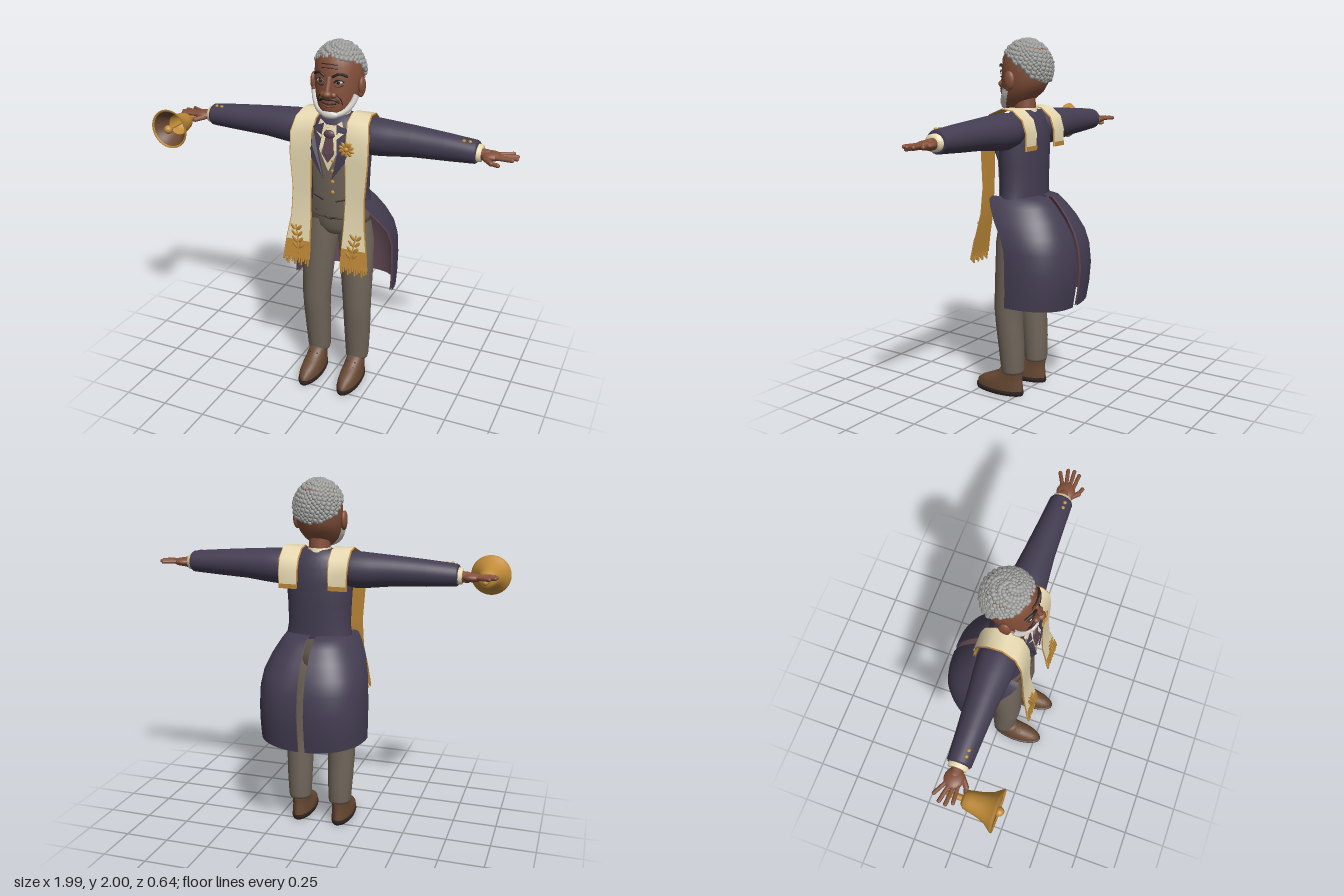
import * as THREE from 'three';
import { mergeGeometries, mergeVertices } from 'three/addons/utils/BufferGeometryUtils.js';

const mat = (name, color, side = THREE.FrontSide) => {
  const m = new THREE.MeshStandardMaterial({ color, side });
  m.name = name;
  return m;
};
const V = (x, y, z) => new THREE.Vector3(x, y, z);

// Surface through rows of points; outward when rows rise and points run left to right
function loft(rows) {
  const n = rows[0].length, index = [];
  for (let j = 0; j < rows.length - 1; j++)
    for (let i = 0; i < n - 1; i++) {
      const a = j * n + i, b = a + 1, c = a + n, d = c + 1;
      index.push(a, b, d, a, d, c);
    }
  let g = new THREE.BufferGeometry().setFromPoints(rows.flat());
  g.setIndex(index);
  g = mergeVertices(g, 1e-5);
  g.computeVertexNormals();
  return g;
}
// Elliptical rings [y, cx, cz, rx, rz], swept over an angle measured from the front
const shell = (rings, half = Math.PI, n = 32) => loft(rings.map(([y, cx, cz, rx, rz]) =>
  Array.from({ length: n + 1 }, (_, i) => {
    const a = -half + (2 * half * i) / n;
    return V(cx + rx * Math.sin(a), y, cz + rz * Math.cos(a));
  })));
const ball = (x, y, z, rx, ry, rz) =>
  new THREE.SphereGeometry(1, 18, 12).scale(rx, ry, rz).translate(x, y, z);
const rod = (a, b, r) => {
  const d = b.clone().sub(a);
  const q = new THREE.Quaternion().setFromUnitVectors(V(0, 1, 0), d.clone().normalize());
  const mid = a.clone().add(b).multiplyScalar(0.5);
  return new THREE.CapsuleGeometry(r, d.length(), 4, 10).applyQuaternion(q).translate(mid.x, mid.y, mid.z);
};
const tube = (pts, r) => new THREE.TubeGeometry(new THREE.CatmullRomCurve3(pts), 24, r, 8);
// Thin plate laid over the curved chest
const chestZ = (x, y) => 0.162 - 1.2 * x * x - Math.max(0, y - 1.45) * 0.3;
function plate(pts, lift = 0, s = 1) {
  const shape = new THREE.Shape(pts.map(([x, y]) => new THREE.Vector2(x * s, y)));
  const g = new THREE.ExtrudeGeometry(shape, { depth: 0.008, bevelEnabled: false });
  const p = g.attributes.position;
  for (let i = 0; i < p.count; i++) p.setZ(i, p.getZ(i) + chestZ(p.getX(i), p.getY(i)) + lift);
  g.computeVertexNormals();
  return g;
}

export function createModel() {
  const D = THREE.DoubleSide;
  const skin = mat('skin', 0x84503a), hair = mat('grey hair', 0x9c9c9a), beard = mat('white beard', 0xd8d4ce);
  const cream = mat('cream cloth', 0xe8dab2, D), gold = mat('gold', 0xbf8a38, D);
  const coat = mat('coat cloth', 0x443d52, D), plum = mat('plum lining', 0x5f4652, D);
  const wool = mat('trouser wool', 0x6f6559, D), leather = mat('brown leather', 0x6a4a34, D);
  const dark = mat('dark brown', 0x2e2220);

  const root = new THREE.Group(), body = new THREE.Group();
  root.name = 'bellRinger';
  body.name = 'figure';
  body.position.x = 0.013;
  root.add(body);
  const add = (name, geo, m) => {
    const mesh = new THREE.Mesh(Array.isArray(geo) ? mergeGeometries(geo) : geo, m);
    mesh.name = name;
    body.add(mesh);
  };

  // Torso, waistcoat and pelvis
  add('coatBody', shell([[1.13, 0, 0.03, 0.19, 0.108], [1.2, 0, 0.033, 0.178, 0.112], [1.32, 0, 0.035, 0.182, 0.118],
    [1.44, 0, 0.033, 0.19, 0.117], [1.52, 0, 0.03, 0.185, 0.106], [1.58, 0, 0.03, 0.15, 0.082],
    [1.615, 0, 0.03, 0.09, 0.06], [1.625, 0, 0.03, 0, 0]]), coat);
  add('waistcoat', shell([[1.04, 0, 0.03, 0.195, 0.106], [1.06, 0, 0.03, 0.197, 0.12], [1.2, 0, 0.033, 0.186, 0.122],
    [1.32, 0, 0.035, 0.19, 0.125], [1.44, 0, 0.033, 0.198, 0.124], [1.5, 0, 0.03, 0.19, 0.114]], 0.6), wool);
  add('pelvis', shell([[0.93, 0, 0.035, 0, 0], [0.935, 0, 0.035, 0.07, 0.07], [0.98, 0, 0.033, 0.155, 0.095],
    [1.05, 0, 0.03, 0.187, 0.104], [1.15, 0, 0.03, 0.183, 0.104]]), wool);

  // Shirt, tie and buttons
  add('shirtFront', plate([[-0.07, 1.57], [0.07, 1.57], [0.055, 1.45], [0, 1.33], [-0.055, 1.45]]), cream);
  add('shirtCollar', new THREE.CylinderGeometry(0.062, 0.075, 0.05, 28, 1, true).translate(0, 1.6, 0.03), cream);
  add('tie', plate([[-0.018, 1.52], [0.018, 1.52], [0.035, 1.43], [0, 1.38], [-0.035, 1.43]], 0.008), plum);
  add('tieKnot', ball(0, 1.53, 0.152, 0.032, 0.024, 0.016), plum);
  add('waistcoatButtons', [1.39, 1.33, 1.27, 1.21].map(y => ball(0.022, y, 0.163, 0.011, 0.011, 0.006)), gold);

  for (const s of [-1, 1]) {
    const side = s > 0 ? 'left' : 'right';
    const P = (x, y, z) => V(s * x, y, z);

    // Lapels, collar wings and pockets
    add(side + 'Lapel', plate([[0.035, 1.585], [0.1, 1.56], [0.125, 1.48], [0.095, 1.465], [0.115, 1.42], [0.025, 1.29], [0.055, 1.43]], 0.014, s), coat);
    add(side + 'CollarWing', plate([[0.01, 1.565], [0.06, 1.6], [0.08, 1.54], [0.045, 1.51]], 0.012, s), cream);
    add(side + 'Pocket', rod(P(0.04, 1.155, 0.153), P(0.095, 1.17, 0.138), 0.004), dark);
    add(side + 'WaistcoatHem', rod(P(0.005, 1.045, 0.148), P(0.09, 1.085, 0.135), 0.004), dark);

    // Sleeve, cuff and sleeve buttons
    const across = (rings) => shell(rings.map(([x, y, z, ry, rz]) => [x, -s * y, z, ry, rz])).rotateZ(-s * Math.PI / 2);
    add(side + 'Sleeve', across([[0.09, 1.515, 0.03, 0.07, 0.075], [0.15, 1.513, 0.03, 0.092, 0.098], [0.22, 1.51, 0.03, 0.1, 0.104],
      [0.3, 1.511, 0.03, 0.094, 0.096], [0.42, 1.514, 0.031, 0.083, 0.083], [0.6, 1.511, 0.035, 0.072, 0.071],
      [0.755, 1.508, 0.038, 0.06, 0.063], [0.765, 1.508, 0.038, 0.054, 0.057], [0.765, 1.508, 0.038, 0, 0]]), coat);
    add(side + 'Cuff', across([[0.74, 1.505, 0.038, 0.046, 0.052], [0.785, 1.505, 0.038, 0.044, 0.05], [0.785, 1.505, 0.038, 0, 0]]), cream);
    add(side + 'SleeveButtons', [0.695, 0.727].map(x => ball(s * x, 1.566, 0.066, 0.01, 0.008, 0.01)), gold);

    // Open hand with spread fingers
    const hand = [rod(P(0.77, 1.502, 0.038), P(0.81, 1.5, 0.038), 0.03), ball(s * 0.832, 1.5, 0.04, 0.056, 0.024, 0.05),
      rod(P(0.81, 1.492, 0.075), P(0.85, 1.484, 0.108), 0.014), rod(P(0.85, 1.484, 0.108), P(0.885, 1.482, 0.118), 0.011)];
    [[-0.024, 0.93], [0.012, 0.957], [0.046, 0.962], [0.078, 0.945]].forEach(([z, x], i) =>
      hand.push(rod(P(0.86, 1.502, 0.012 + i * 0.02), P(x, 1.503, z), 0.0105)));
    add(side + 'Hand', hand, skin);

    // Trouser leg
    add(side + 'Leg', shell([[1.02, s * 0.1, 0.03, 0.085, 0.09], [0.9, s * 0.108, 0.032, 0.1, 0.1], [0.72, s * 0.118, 0.045, 0.092, 0.09],
      [0.52, s * 0.126, 0.058, 0.081, 0.082], [0.42, s * 0.126, 0.054, 0.078, 0.078], [0.28, s * 0.124, 0.042, 0.073, 0.074],
      [0.15, s * 0.122, 0.036, 0.066, 0.067], [0.135, s * 0.122, 0.036, 0.062, 0.063], [0.135, s * 0.122, 0.036, 0, 0]].reverse()), wool);

    // Shoe, sole and laces
    const fx = s * 0.122;
    add(side + 'Shoe', shell([[0.025, fx, 0.125, 0.058, 0.152], [0.055, fx, 0.123, 0.059, 0.15], [0.08, fx, 0.108, 0.056, 0.132],
      [0.105, fx, 0.08, 0.053, 0.103], [0.13, fx, 0.052, 0.052, 0.078], [0.165, fx, 0.038, 0.052, 0.066], [0.165, fx, 0.038, 0, 0]]), leather);
    add(side + 'Sole', shell([[0, fx, 0.127, 0, 0], [0, fx, 0.127, 0.058, 0.154], [0.012, fx, 0.127, 0.063, 0.159], [0.028, fx, 0.127, 0.062, 0.158], [0.03, fx, 0.127, 0, 0]]), dark);
    add(side + 'Laces', [[0.135, 0.126], [0.117, 0.156], [0.1, 0.185]].map(([y, z]) =>
      rod(V(fx - 0.022, y - 0.004, z - 0.006), V(fx + 0.022, y - 0.004, z - 0.006), 0.004)), dark);

    // Coat tail with its lining: [y, half width, front edge z, back z]
    const tail = (inset) => loft([[0.545, 0.302, -0.03, -0.295], [0.65, 0.305, -0.035, -0.312], [0.76, 0.306, -0.035, -0.322], [0.87, 0.302, -0.03, -0.31],
      [0.95, 0.29, 0.0, -0.285], [1.03, 0.262, 0.06, -0.24], [1.1, 0.225, 0.11, -0.185], [1.14, 0.198, 0.135, -0.145], [1.152, 0.178, 0.13, -0.07]]
      .map(([y, a, zf, zb], j) => Array.from({ length: 21 }, (_, i) => {
        const t = (i / 20) * Math.PI / 2, w = a - inset - 0.02;
        const dip = j === 0 ? 0.025 * Math.cos(t) : 0;
        return P(0.02 + w * Math.pow(Math.max(0, Math.cos(t)), 0.75), y + dip, zf + (zb + inset - zf) * Math.pow(Math.sin(t), 0.85));
      })));
    add(side + 'CoatTail', tail(0), coat);
    add(side + 'TailLining', tail(0.012), plum);

    // Stole: cream strip on a wider gold edging, [y, z, centre x, half width]
    const path = [[1.41, -0.098, 0.14, 0.05], [1.5, -0.1, 0.14, 0.052], [1.57, -0.078, 0.14, 0.054], [1.618, -0.02, 0.14, 0.054], [1.626, 0.05, 0.14, 0.054],
      [1.595, 0.122, 0.148, 0.058], [1.52, 0.158, 0.16, 0.062], [1.4, 0.168, 0.16, 0.063], [1.2, 0.17, 0.155, 0.053], [1.05, 0.182, 0.156, 0.058],
      [0.92, 0.206, 0.165, 0.07], [0.81, 0.222, 0.171, 0.078]];
    const strip = (pts, widen, back) => loft(pts.map(([y, z, x, w], i) => {
      const a = pts[Math.max(0, i - 1)], b = pts[Math.min(pts.length - 1, i + 1)];
      const l = Math.hypot(b[0] - a[0], b[1] - a[1]), ny = (b[1] - a[1]) / l, nz = -(b[0] - a[0]) / l;
      return [-1, 0, 1].map(k => P(x + k * (w + widen), y + ny * back, z + nz * back));
    }));
    add(side + 'Stole', strip(path, -0.002, 0.004), cream);
    add(side + 'StoleEdging', strip(path, 0.004, -0.001), gold);
    add(side + 'StoleBand', strip([[0.915, 0.212, 0.165, 0.07], [0.81, 0.228, 0.171, 0.078]], 0, 0.002), gold);
    add(side + 'StoleBackBand', strip([[1.41, -0.1, 0.14, 0.05], [1.435, -0.101, 0.14, 0.05]], 0, 0.006), gold);
    add(side + 'StoleFringe', Array.from({ length: 12 }, (_, i) => {
      const x = 0.098 + i * 0.0132;
      return rod(P(x, 0.82, 0.224), P(x + 0.003, 0.772 + 0.012 * (i % 3), 0.228), 0.0055);
    }), gold);
    const sprig = [rod(P(0.15, 0.84, 0.228), P(0.178, 1.0, 0.204), 0.004)];
    for (let i = 0; i < 4; i++)
      for (const k of [-1, 1])
        sprig.push(new THREE.SphereGeometry(1, 8, 6).scale(0.009, 0.022, 0.004).rotateZ(-k * 0.7)
          .translate(s * (0.158 + i * 0.006) + k * 0.019, 0.885 + i * 0.034, 0.223 - i * 0.005));
    add(side + 'StoleSprig', sprig, gold);

    // Ear, eye, brow, cheek line
    add(side + 'Ear', [ball(s * 0.136, 1.775, 0.042, 0.017, 0.05, 0.032), ball(s * 0.133, 1.74, 0.05, 0.014, 0.022, 0.018)], skin);
    add(side + 'Eye', ball(s * 0.05, 1.812, 0.143, 0.022, 0.011, 0.01), beard);
    add(side + 'Pupil', ball(s * 0.05, 1.812, 0.15, 0.01, 0.01, 0.006), dark);
    add(side + 'EyeLines', [tube([P(0.026, 1.808, 0.153), P(0.05, 1.825, 0.152), P(0.077, 1.812, 0.136)], 0.004),
      tube([P(0.028, 1.795, 0.155), P(0.05, 1.788, 0.15), P(0.076, 1.797, 0.137)], 0.003)], dark);
    add(side + 'Brow', tube([P(0.02, 1.838, 0.158), P(0.055, 1.855, 0.15), P(0.092, 1.84, 0.126)], 0.007), dark);
    add(side + 'CheekLine', tube([P(0.04, 1.75, 0.158), P(0.062, 1.725, 0.148), P(0.068, 1.69, 0.135)], 0.003), dark);
  }

  // Neck, head and face
  add('neck', new THREE.CylinderGeometry(0.056, 0.062, 0.17, 28).translate(0, 1.635, 0.03), skin);
  add('head', shell([[1.615, 0, 0.11, 0, 0], [1.622, 0, 0.11, 0.04, 0.04], [1.645, 0, 0.092, 0.07, 0.067], [1.67, 0, 0.073, 0.092, 0.09],
    [1.71, 0, 0.047, 0.111, 0.116], [1.76, 0, 0.03, 0.123, 0.13], [1.82, 0, 0.021, 0.129, 0.135], [1.89, 0, 0.019, 0.126, 0.132],
    [1.94, 0, 0.016, 0.104, 0.11], [1.97, 0, 0.015, 0.063, 0.067], [1.982, 0, 0.015, 0, 0]]), skin);
  add('nose', [rod(V(0, 1.825, 0.15), V(0, 1.76, 0.175), 0.015), ball(0, 1.75, 0.178, 0.025, 0.02, 0.024),
    ball(-0.028, 1.745, 0.163, 0.017, 0.015, 0.015), ball(0.028, 1.745, 0.163, 0.017, 0.015, 0.015)], skin);
  add('moustache', tube([V(-0.055, 1.705, 0.147), V(-0.03, 1.722, 0.163), V(0, 1.72, 0.168), V(0.03, 1.722, 0.163), V(0.055, 1.705, 0.147)], 0.007), dark);
  add('mouth', tube([V(-0.04, 1.7, 0.154), V(0, 1.693, 0.163), V(0.04, 1.7, 0.154)], 0.005), dark);
  add('lowerLip', tube([V(-0.032, 1.69, 0.153), V(0, 1.682, 0.162), V(0.032, 1.69, 0.153)], 0.008), skin);
  add('foreheadLines', [1.878, 1.898].map(y => tube([V(-0.045, y, 0.143), V(0, y + 0.003, 0.151), V(0.045, y, 0.143)], 0.0025)), dark);
  add('beard', [tube([V(-0.119, 1.735, 0.075), V(-0.103, 1.69, 0.097), V(-0.068, 1.65, 0.125), V(0, 1.633, 0.15),
    V(0.068, 1.65, 0.125), V(0.103, 1.69, 0.097), V(0.119, 1.735, 0.075)], 0.017), ball(0, 1.636, 0.146, 0.05, 0.024, 0.024)], beard);

  // Curly hair: small curls spread evenly above the hairline
  const curls = [];
  for (let i = 0; i < 850; i++) {
    const h = 1 - (2 * i + 1) / 850, r = Math.sqrt(1 - h * h), a = i * 2.39996;
    const x = 0.13 * r * Math.cos(a), y = 1.835 + 0.15 * h, z = 0.017 + 0.137 * r * Math.sin(a);
    if (y < 1.875 + (z - 0.02) * (z > 0.02 ? 0.5 : 0.88)) continue;
    const size = 0.0125 + 0.0035 * Math.sin(i * 7.3);
    curls.push(new THREE.IcosahedronGeometry(size, 1).translate(x, y, z));
  }
  add('curlyHair', curls, hair);

  // Flower on the left lapel
  add('flower', [ball(0.105, 1.468, 0.176, 0.014, 0.014, 0.012), ...Array.from({ length: 10 }, (_, i) => {
    const a = (i / 10) * Math.PI * 2;
    return ball(0, 0.028, 0, 0.009, 0.017, 0.006).rotateZ(a).translate(0.105, 1.468, 0.174);
  })], gold);

  // Hand bell with its mouth to the front
  const turned = (pts) => new THREE.LatheGeometry(pts.map(([r, h]) => new THREE.Vector2(r, h)), 40)
    .rotateX(Math.PI / 2).translate(-0.903, 1.475, 0);
  add('bell', turned([[0, 0.108], [0.03, 0.11], [0.046, 0.125], [0.053, 0.155], [0.062, 0.2], [0.078, 0.243], [0.1, 0.272], [0.11, 0.285], [0.108, 0.292], [0.098, 0.284]]), gold);
  add('bellInside', turned([[0.098, 0.284], [0.09, 0.268], [0.07, 0.236], [0.057, 0.2]]), leather);
  add('clapper', [rod(V(-0.903, 1.475, 0.12), V(-0.903, 1.475, 0.28), 0.007), ball(-0.903, 1.475, 0.295, 0.024, 0.024, 0.024)], gold);
  add('bellHandle', rod(V(-0.903, 1.475, 0.04), V(-0.903, 1.475, 0.11), 0.016), gold);

  return root;
}
